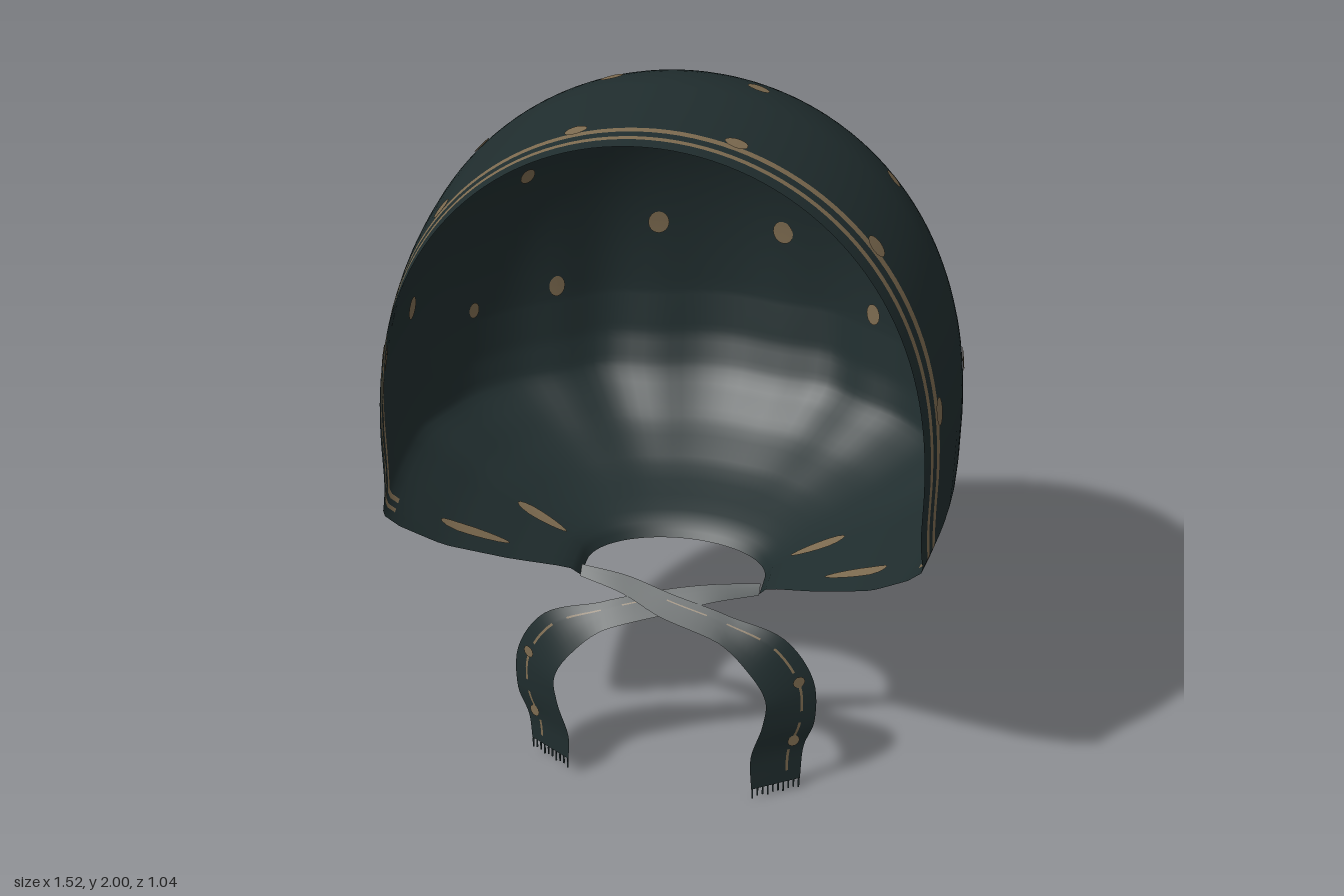
import * as THREE from 'three';

const cloth = new THREE.MeshStandardMaterial({ color: 0x202d2e, side: THREE.DoubleSide });
cloth.name = 'dark green cloth';
const tan = new THREE.MeshStandardMaterial({ color: 0x7d6b50, side: THREE.DoubleSide });
tan.name = 'tan print';

// Cap below its widest line: height, half width, front z, z where the back curve begins, back z
const LOWER = [
  [0.58, 0.25, 0.25, 0.17, 0.01], [0.62, 0.275, 0.28, 0.16, -0.02],
  [0.68, 0.42, 0.36, 0.15, -0.205], [0.76, 0.58, 0.45, 0.14, -0.34],
  [0.84, 0.7, 0.505, 0.13, -0.425], [0.88, 0.75, 0.52, 0.13, -0.455],
  [0.97, 0.757, 0.52, 0.13, -0.495], [1.1, 0.76, 0.52, 0.13, -0.52],
];

function profile(y) {
  if (y >= 1.1) {
    const k = Math.sqrt(Math.max(0, 1 - ((y - 1.1) / 0.9) ** 2.3));
    return [0.76 * k, 0.52, 0.13, 0.13 - 0.65 * k];
  }
  let i = 0;
  while (i < LOWER.length - 2 && y > LOWER[i + 1][0]) i++;
  const a = LOWER[i], b = LOWER[i + 1];
  const t = THREE.MathUtils.clamp((y - a[0]) / (b[0] - a[0]), 0, 1);
  return [1, 2, 3, 4].map(j => a[j] + (b[j] - a[j]) * t);
}

// Point of the cap: q = 0 centre back, 1 at the side, 2 at the front rim; the sign picks the side
function capPoint(y, q) {
  const [w, zf, z0, zb] = profile(y);
  const s = Math.sign(q), u = Math.abs(q);
  if (u > 1) {
    const t = u - 1;
    const pinch = 0.065 * THREE.MathUtils.smoothstep(y, 0.7, 1) * t * t;
    return new THREE.Vector3(s * w * (1 - pinch), y, z0 + (zf - z0) * t);
  }
  // soft gathers fanning up from the neck
  const amount = THREE.MathUtils.smoothstep(y, 0.6, 0.85) * (1 - THREE.MathUtils.smoothstep(y, 0.95, 1.6));
  const wave = Math.cos((u - 0.285) * 19) + 0.5 * Math.cos((u - 0.5) * 29);
  const fold = 1 + 0.014 * amount * (1 - u * u) * wave;
  const a = u * Math.PI / 2;
  return new THREE.Vector3(s * w * Math.sin(a) * fold, y, z0 - (z0 - zb) * Math.cos(a) * fold);
}

// Smooth sheet from a grid of points; isTan(row, column) picks the printed cells
function sheet(name, rows, isTan) {
  const cols = rows[0].length, plain = [], print = [];
  for (let r = 0; r < rows.length - 1; r++) {
    for (let c = 0; c < cols - 1; c++) {
      const a = r * cols + c, b = a + 1, d = a + cols, e = d + 1;
      (isTan(r, c) ? print : plain).push(a, d, b, b, d, e);
    }
  }
  const g = new THREE.BufferGeometry().setFromPoints(rows.flat());
  g.setIndex([...plain, ...print]);
  g.addGroup(0, plain.length, 0);
  g.addGroup(plain.length, print.length, 1);
  g.computeVertexNormals();
  const mesh = new THREE.Mesh(g, [cloth, tan]);
  mesh.name = name;
  return mesh;
}

function makeCap() {
  const half = [];
  for (let i = 1; i <= 32; i++) half.push(i / 32);
  half.push(1.2, 1.4, 1.55, 1.705, 1.764, 1.838, 1.885, 2);
  const qs = [...half.map(q => -q).reverse(), 0, ...half];
  const ys = [];
  for (let i = 0; i < 30; i++) ys.push(0.58 + 0.52 * i / 30);
  for (let i = 0; i <= 36; i++) ys.push(1.1 + 0.9 * Math.sin(i / 36 * Math.PI / 2));
  const rows = ys.map(y => qs.map(q => capPoint(y, q)));
  // two printed stripes follow the front rim
  return sheet('cap', rows, (r, c) => {
    const m = Math.abs(qs[c] + qs[c + 1]) / 2;
    return ys[r] > 0.85 && ((m > 1.705 && m < 1.764) || (m > 1.838 && m < 1.885));
  });
}

// Printed spot hugging both faces of the cap, given by height, depth and half sizes
function addDot(group, y, z, side, halfWidth, halfHeight) {
  const [, zf, z0, zb] = profile(y);
  const q = side * (z > z0 ? 1 + (z - z0) / (zf - z0)
    : Math.acos(Math.min(1, (z0 - z) / (z0 - zb))) * 2 / Math.PI);
  const e = 0.01;
  const across = capPoint(y, q + e).sub(capPoint(y, q - e)).divideScalar(2 * e);
  const up = capPoint(y + e, q).sub(capPoint(y - e, q)).divideScalar(2 * e);
  const n = up.clone().cross(across).normalize();
  const dq = halfWidth / across.length(), dy = halfHeight / up.length();
  for (const off of [0.004, -0.004]) {
    const g = new THREE.RingGeometry(0, 1, 16, 3);
    const pos = g.attributes.position;
    for (let i = 0; i < pos.count; i++) {
      const p = capPoint(y + dy * pos.getY(i), q + dq * pos.getX(i)).addScaledVector(n, off);
      pos.setXYZ(i, p.x, p.y, p.z);
    }
    g.computeVertexNormals();
    const dot = new THREE.Mesh(g, tan);
    dot.name = 'printedDot';
    group.add(dot);
  }
}

// Tie: starts at one neck corner, crosses the middle and hangs on the other side
function makeTie(side, drop, depth) {
  const tie = new THREE.Group();
  tie.name = side > 0 ? 'leftTie' : 'rightTie';
  const V = (x, y, z) => new THREE.Vector3(side * x, y, z);
  const centre = new THREE.CatmullRomCurve3([
    V(-0.25, 0.592, 0.245), V(-0.12, 0.58, 0.275), V(0, 0.555, 0.305 + depth), V(0.17, 0.515, 0.345),
    V(0.29, 0.455, 0.36), V(0.355, 0.35, 0.36), V(0.355, 0.24, 0.36),
    V(0.325, 0.14, 0.36), V(0.322, 0.06 - drop, 0.36)]);
  const spread = new THREE.CatmullRomCurve3([
    V(0, 0.012, -0.012), V(0.003, 0.016, -0.022), V(0.008, 0.022, -0.028), V(0.012, 0.026, -0.028),
    V(0.045, 0.04, -0.03), V(0.06, 0.018, -0.037), V(0.066, -0.01, -0.04),
    V(0.067, 0, -0.042), V(0.062, 0, -0.04)]);
  const ks = [-1, -0.5, 0, 0.38, 0.48, 0.75, 1], rows = [];
  const at = (t, k) => centre.getPoint(t).addScaledVector(spread.getPoint(t), k);
  for (let i = 0; i <= 48; i++) rows.push(ks.map(k => at(i / 48, k)));
  tie.add(sheet('ribbon', rows, (r, c) => c === 3 && r % 6 < 4 && r > 10));

  // printed spots on the hanging part
  for (const t of [0.61, 0.83]) {
    for (const off of [0.005, -0.005]) {
      const spot = new THREE.Mesh(new THREE.CircleGeometry(0.018, 10), tan);
      spot.name = 'tieDot';
      spot.rotation.y = side * 0.55;
      spot.position.copy(at(t, 0.45)).add(new THREE.Vector3(side * off * 0.5, 0, off));
      tie.add(spot);
    }
  }
  // frayed end
  for (let i = 0; i < 10; i++) {
    const len = 0.024 + 0.006 * (i % 3 === 0 ? 1 : 0);
    const thread = new THREE.Mesh(new THREE.BoxGeometry(0.004, len, 0.004), cloth);
    thread.name = 'fringeThread';
    thread.position.copy(at(1, -0.95 + 1.9 * i / 9));
    thread.position.y -= len / 2;
    tie.add(thread);
  }
  return tie;
}

export function createModel() {
  const model = new THREE.Group();
  model.name = 'bonnet';
  model.add(makeCap());

  const dots = new THREE.Group();
  dots.name = 'printedDots';
  const spots = [
    [1.76, -0.305, 0.026, 0.028], [1.53, -0.268, 0.022, 0.026], [1.32, -0.488, 0.03, 0.036],
    [1.14, -0.385, 0.024, 0.032], [1.13, -0.2, 0.018, 0.024], [1.745, 0.03, 0.026, 0.027],
    [1.27, 0.08, 0.026, 0.034], [1.965, 0.03, 0.03, 0.028], [1.97, 0.395, 0.025, 0.03],
    [1.73, 0.4, 0.027, 0.032], [1.29, 0.405, 0.024, 0.04],
    [0.67, 0.12, 0.02, 0.085], [0.735, 0.335, 0.02, 0.11], // long streaks towards the neck
  ];
  for (const [y, z, w, h] of spots) {
    for (const side of [-1, 1]) addDot(dots, y, z, side, w, h);
  }
  model.add(dots);

  model.add(makeTie(1, 0.03, 0.012), makeTie(-1, 0, -0.004));
  return model;
}
